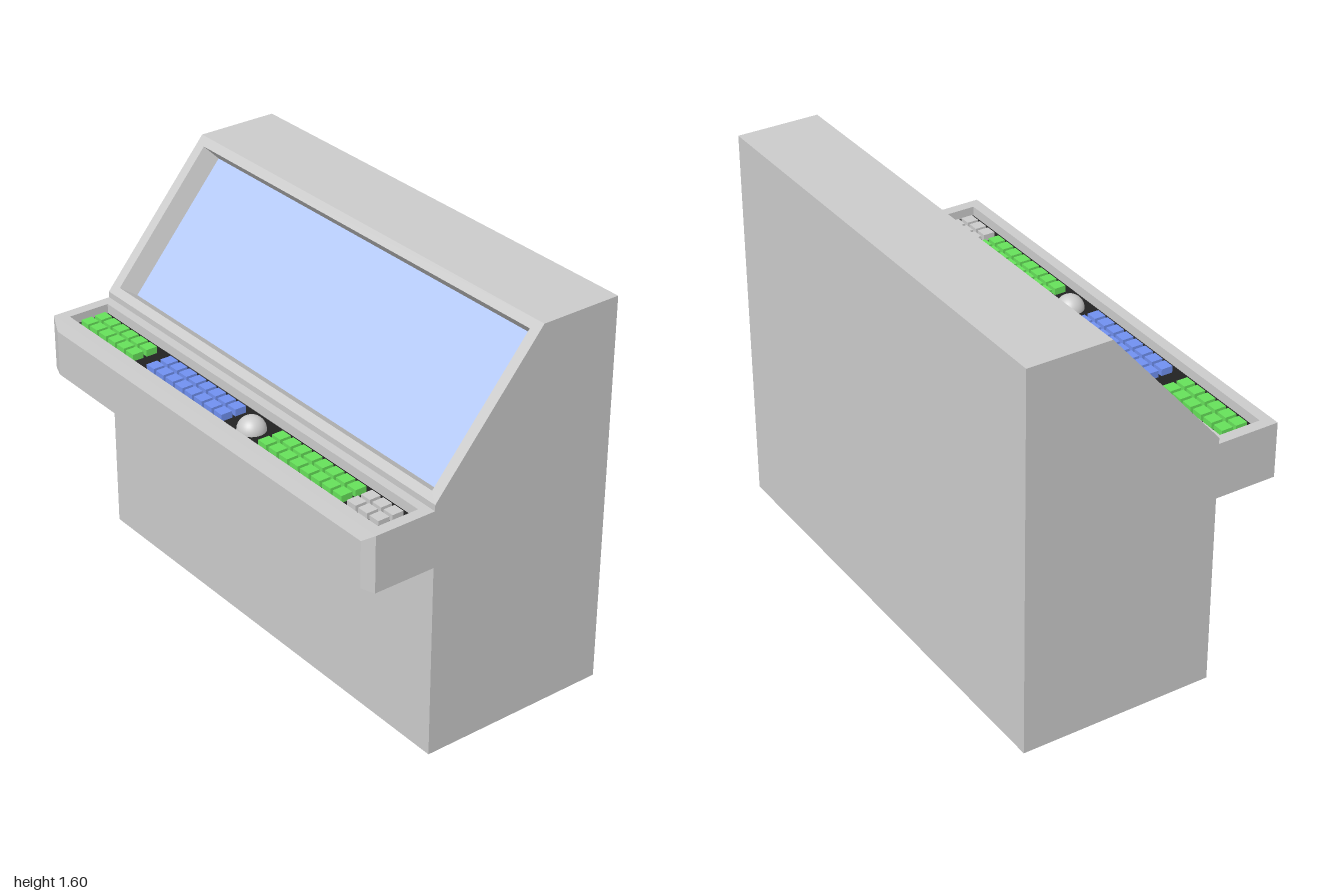
import * as THREE from 'three';

const paint = (color = 0xcccccc) => new THREE.MeshStandardMaterial({ color });

// rectangle loop across the width between two [z, y] points
const loop = (x, [z0, y0], [z1, y1]) => [[-x, y0, z0], [x, y0, z0], [x, y1, z1], [-x, y1, z1]];
// four quads joining two loops
const band = (a, b) => a.map((p, i) => [p, a[(i + 1) % 4], b[(i + 1) % 4], b[i]]);

function quadMesh(name, quads, material) {
  const geometry = new THREE.BufferGeometry();
  const corners = quads.flatMap(([a, b, c, d]) => [a, b, c, a, c, d]).flat();
  geometry.setAttribute('position', new THREE.Float32BufferAttribute(corners, 3));
  geometry.computeVertexNormals();
  const mesh = new THREE.Mesh(geometry, material);
  mesh.name = name;
  return mesh;
}

export function createModel() {
  const model = new THREE.Group();
  model.name = 'controlConsole';
  const grey = paint();

  // side profile as [z, y], running up the front and down the back
  const slopeLow = [0.263, 1.055], slopeHigh = [-0.2, 1.6];
  const deskFront = [0.52, 1.03], deskBack = [0.263, 1.03];
  const profile = [[0.263, 0], [0.263, 0.8], [0.52, 0.8], deskFront, deskBack,
    slopeLow, slopeHigh, [-0.54, 1.6], [-0.54, 0]];

  // plain faces; the desk front, desk top and slope are built separately
  const shell = [];
  profile.forEach((p, i) => {
    if (![2, 3, 5].includes(i)) shell.push(loop(1, p, profile[(i + 1) % profile.length]));
  });
  model.add(quadMesh('cabinetShell', shell, grey));

  // side panels
  for (const s of [-1, 1]) {
    const shape = new THREE.Shape(profile.map(([z, y]) => new THREE.Vector2(-s * z, y)));
    const geometry = new THREE.ShapeGeometry(shape).rotateY(s * Math.PI / 2).translate(s, 0, 0);
    const panel = new THREE.Mesh(geometry, grey);
    panel.name = s > 0 ? 'leftSidePanel' : 'rightSidePanel';
    model.add(panel);
  }

  // bevelled desk nose
  const nose = loop(0.945, [0.54, 0.8], [0.54, 0.99]);
  model.add(quadMesh('deskNose', [...band(loop(1, [0.52, 0.8], deskFront), nose), nose], grey));

  // sloping screen surround with a tapered recess
  const direction = new THREE.Vector2(slopeHigh[0] - slopeLow[0], slopeHigh[1] - slopeLow[1]);
  const length = direction.length();
  direction.normalize();
  const onSlope = (along, depth) => [
    slopeLow[0] + direction.x * along - direction.y * depth,
    slopeLow[1] + direction.y * along + direction.x * depth,
  ];
  const opening = loop(0.955, onSlope(0.035, 0), onSlope(length - 0.038, 0));
  const screen = loop(0.927, onSlope(0.045, 0.073), onSlope(length - 0.047, 0.073));
  model.add(quadMesh('screenSurround',
    [...band(loop(1, slopeLow, slopeHigh), opening), ...band(opening, screen)], grey));
  model.add(quadMesh('screen', [screen], paint(0xb4c9f8)));

  // desk top with a sunken key tray
  const floorY = 0.99;
  const trayRim = loop(0.955, [0.475, 1.03], [0.3, 1.03]);
  const trayFloor = loop(0.955, [0.475, floorY], [0.3, floorY]);
  model.add(quadMesh('deskTop',
    [...band(loop(1, deskFront, deskBack), trayRim), ...band(trayRim, trayFloor)], grey));
  model.add(quadMesh('trayFloor', [trayFloor], paint(0x222222)));

  // two-row key banks
  const pitch = 0.062;
  const keyGeometry = new THREE.BoxGeometry(0.048, 0.028, 0.048);
  const banks = [
    ['rightGreenKeys', -0.9, 6, paint(0x66e05a)],
    ['blueKeys', -0.45, 8, paint(0x7090f0)],
    ['leftGreenKeys', 0.256, 8, paint(0x66e05a)],
    ['greyKeys', 0.769, 3, grey],
  ];
  for (const [name, startX, columns, material] of banks) {
    const bank = new THREE.Group();
    bank.name = name;
    for (let column = 0; column < columns; column++) {
      for (let row = 0; row < 2; row++) {
        const key = new THREE.Mesh(keyGeometry, material);
        key.name = 'key';
        key.position.set(startX + column * pitch, floorY + 0.014, 0.357 + row * pitch);
        bank.add(key);
      }
    }
    model.add(bank);
  }

  // trackball
  const ball = new THREE.Mesh(new THREE.SphereGeometry(0.056, 32, 20), grey);
  ball.name = 'trackball';
  ball.position.set(0.12, 0.99, 0.39);
  model.add(ball);

  return model;
}
